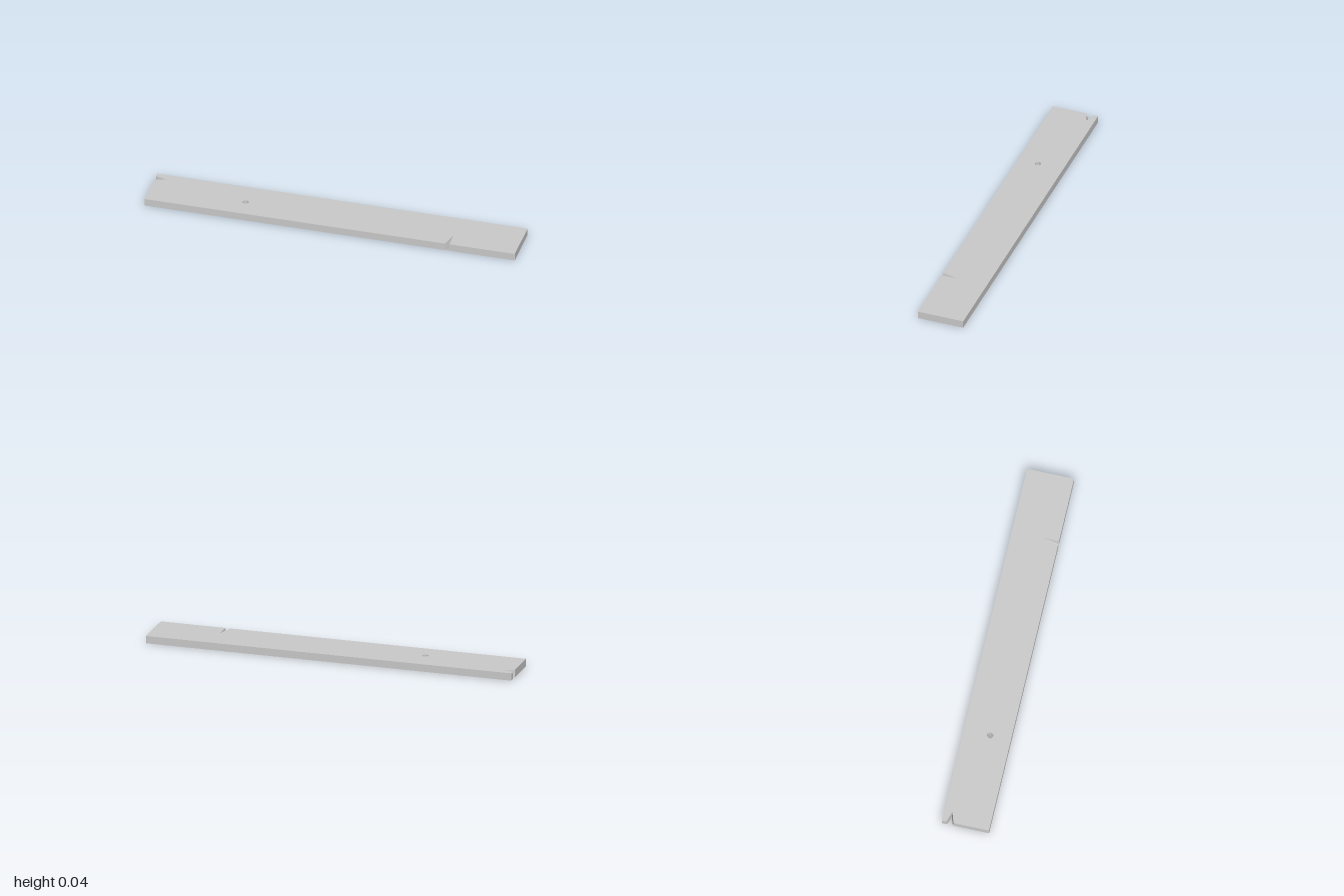
import * as THREE from 'three';

export function createModel() {
  const group = new THREE.Group();
  const thickness = 0.04;
  const half = 0.126;

  // Notches as [x, z] corners on the top face and on the narrower bottom face
  const edgeNotch = {
    top: [[0.622, half], [0.645, 0.04], [0.647, half]],
    bottom: [[0.63, half], [0.636, 0.107], [0.641, half]],
  };
  const endNotch = {
    top: [[-1, -0.102], [-0.94, -0.083], [-1, -0.064]],
    bottom: [[-1, -0.099], [-0.955, -0.083], [-1, -0.067]],
  };

  // Plank outline, with shape y = -z
  const outline = [
    [-1, half], ...edgeNotch.top, [1, half],
    [1, -half], [-1, -half], ...endNotch.top,
  ];
  const shape = new THREE.Shape(outline.map(([x, z]) => new THREE.Vector2(x, -z)));

  // Round through hole
  const hole = new THREE.Path();
  hole.absarc(-0.484, -0.015, 0.016, 0, Math.PI * 2, true);
  shape.holes.push(hole);

  const geometry = new THREE.ExtrudeGeometry(shape, {
    depth: thickness, bevelEnabled: false, curveSegments: 12,
  });
  geometry.rotateX(-Math.PI / 2);

  // Taper the notches by moving their lower corners
  const pos = geometry.attributes.position;
  for (let i = 0; i < pos.count; i++) {
    if (pos.getY(i) > thickness / 2) continue;
    const x = pos.getX(i), z = pos.getZ(i);
    for (const { top, bottom } of [edgeNotch, endNotch]) {
      const k = top.findIndex(([a, b]) => Math.hypot(a - x, b - z) < 1e-4);
      if (k >= 0) {
        pos.setX(i, bottom[k][0]);
        pos.setZ(i, bottom[k][1]);
      }
    }
  }
  geometry.computeVertexNormals();

  const plank = new THREE.Mesh(
    geometry,
    new THREE.MeshStandardMaterial({ color: 0xcccccc, flatShading: true }),
  );
  plank.name = 'plank';
  group.add(plank);
  return group;
}
